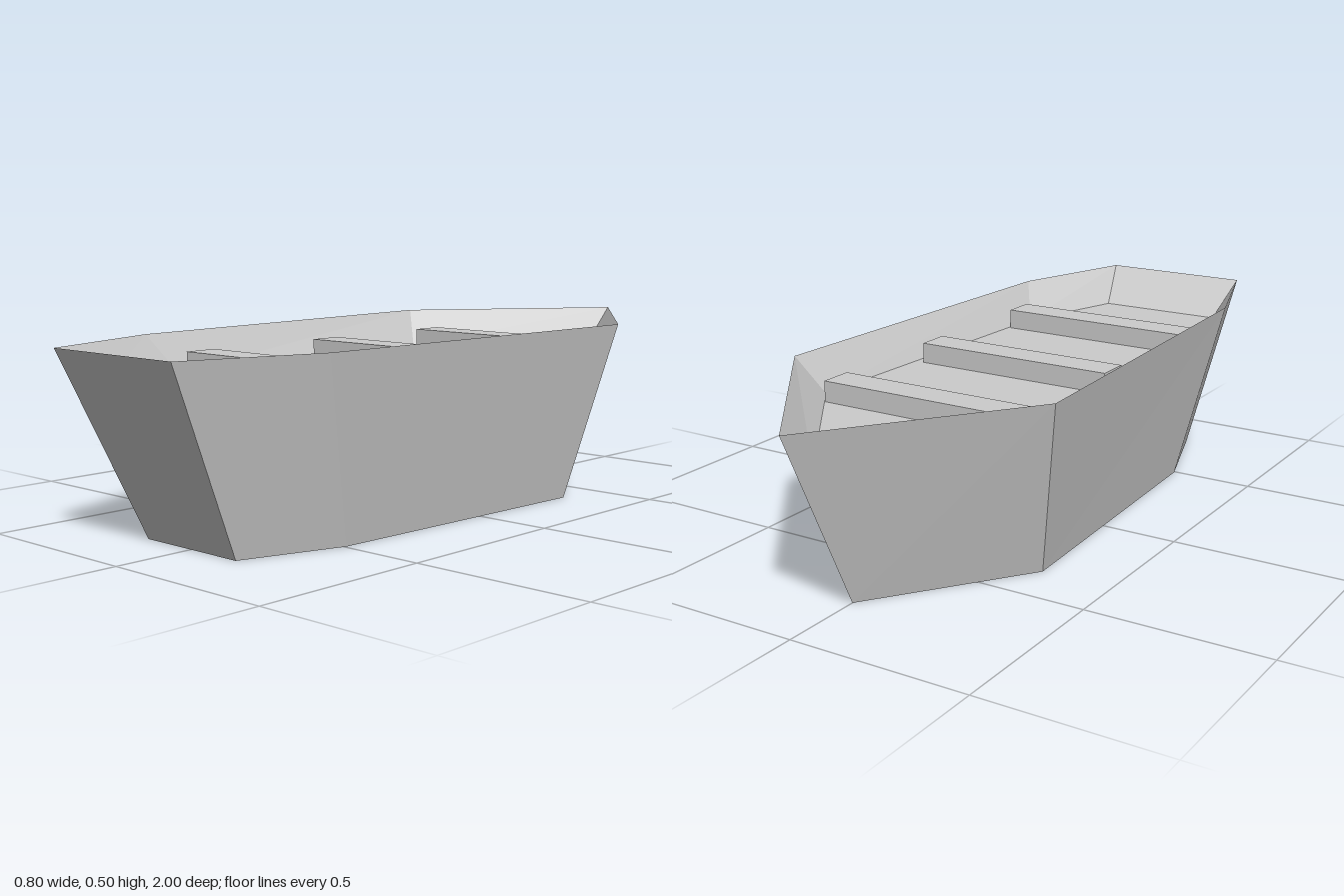
import * as THREE from 'three';

// Closed plan outline from half of it: bow point first, then down the left side and back up the right
function ring(y, half) {
  const mirrored = half.slice(1).reverse().map(([x, z]) => [-x, z]);
  return [...half, ...mirrored].map(([x, z]) => [x, y, z]);
}

// Joins rings with quads and closes the first (facing down) and last (facing up)
function shell(rings) {
  const pos = [];
  const tri = (...corners) => corners.forEach((p) => pos.push(...p));
  const n = rings[0].length;
  for (let r = 0; r < rings.length - 1; r++) {
    const a = rings[r], b = rings[r + 1];
    for (let i = 0; i < n; i++) {
      const j = (i + 1) % n;
      tri(a[j], a[i], b[i]);
      tri(a[j], b[i], b[j]);
    }
  }
  const first = rings[0], last = rings[rings.length - 1];
  for (let k = 1; k < n - 1; k++) {
    tri(first[0], first[k], first[k + 1]);
    tri(last[0], last[k + 1], last[k]);
  }
  const geometry = new THREE.BufferGeometry();
  geometry.setAttribute('position', new THREE.Float32BufferAttribute(pos, 3));
  geometry.computeVertexNormals();
  return geometry;
}

export function createModel() {
  const boat = new THREE.Group();
  boat.name = 'rowingBoat';
  const grey = new THREE.MeshStandardMaterial({ color: 0xcccccc });
  grey.name = 'lightGrey';

  // Hull: keel outline, rim and raised inner floor
  const floorY = 0.393;
  const hull = new THREE.Mesh(shell([
    ring(0, [[0, -0.765], [0.3, -0.357], [0.26, 0.495], [0.167, 0.775]]),
    ring(0.5, [[0, -1], [0.4, -0.47], [0.346, 0.63], [0.222, 1]]),
    ring(floorY, [[0, -0.89], [0.34, -0.42], [0.296, 0.56], [0.19, 0.89]]),
  ]), grey);
  hull.name = 'hull';
  boat.add(hull);

  // Three thwarts resting on the floor
  const height = 0.057;
  [-0.432, 0.016, 0.487].forEach((z, i) => {
    const bench = new THREE.Mesh(new THREE.BoxGeometry(0.59, height, 0.095), grey);
    bench.name = `bench${i + 1}`;
    bench.position.set(0, floorY + height / 2, z);
    boat.add(bench);
  });
  return boat;
}
